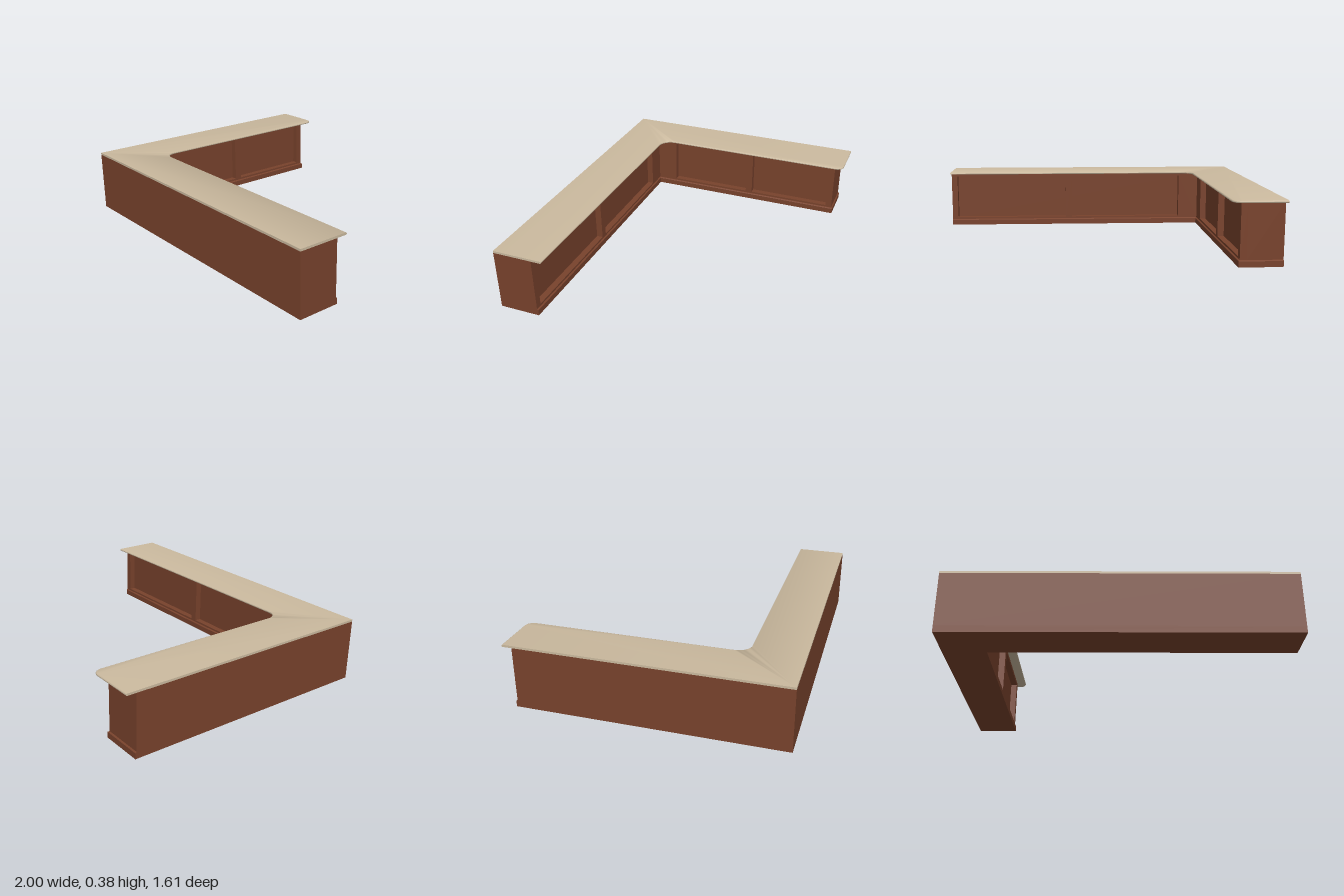
import * as THREE from 'three';
import { toCreasedNormals } from 'three/addons/utils/BufferGeometryUtils.js';

const wood = new THREE.MeshStandardMaterial({ color: 0x78422c });
const stone = new THREE.MeshStandardMaterial({ color: 0xcab99e });

const FRONT = 0.805;             // z of the straight front face
const FACE_X = -0.755;           // inner face of the side arm
const FACE_Z = 0.565;            // inner face of the front arm
const END_Z = -0.745;            // back end of the side arm
const BODY_TOP = 0.367, TOP = 0.38, PLINTH = 0.04;
const RECESS = 0.04;

// L-shaped outline as (x, -z) points, counter-clockwise; radii round the inner and the end corner
function lOutline(x, z, endZ, rInner = 0, rEnd = 0) {
  const pts = [[-1, -FRONT], [1, -FRONT], [1, -z]];
  const arc = (cx, cy, r, from, to) => {
    const n = r > 0 ? 8 : 0;
    for (let k = 0; k <= n; k++) {
      const a = from + (to - from) * (n ? k / n : 0);
      pts.push([cx + r * Math.cos(a), cy + r * Math.sin(a)]);
    }
  };
  arc(x + rInner, -z + rInner, rInner, -Math.PI / 2, -Math.PI);
  arc(x - rEnd, -endZ - rEnd, rEnd, 0, Math.PI / 2);
  pts.push([-1, -endZ]);
  return pts.map(([u, v]) => new THREE.Vector2(u, v));
}

// Closed solid through stacked outlines [{ y, pts }]
function stack(layers) {
  const pos = [];
  const put = (l, i) => pos.push(l.pts[i].x, l.y, -l.pts[i].y);
  for (let k = 0; k + 1 < layers.length; k++) {
    const lo = layers[k], hi = layers[k + 1], n = lo.pts.length;
    for (let i = 0; i < n; i++) {
      const j = (i + 1) % n;
      put(lo, i); put(lo, j); put(hi, j);
      put(lo, i); put(hi, j); put(hi, i);
    }
  }
  const first = layers[0], last = layers[layers.length - 1];
  for (const [a, b, c] of THREE.ShapeUtils.triangulateShape(last.pts, [])) {
    put(last, a); put(last, b); put(last, c);
  }
  for (const [a, b, c] of THREE.ShapeUtils.triangulateShape(first.pts, [])) {
    put(first, a); put(first, c); put(first, b);
  }
  const geo = new THREE.BufferGeometry();
  geo.setAttribute('position', new THREE.Float32BufferAttribute(pos, 3));
  return toCreasedNormals(geo, 0.8);
}

function rectPath(Type, x0, x1, y0, y1) {
  return new Type([[x0, y0], [x1, y0], [x1, y1], [x0, y1]].map(([x, y]) => new THREE.Vector2(x, y)));
}

// Framed face: a board with rectangular openings, from s = 0 at the free end
function panelFrame(length, openings) {
  const shape = rectPath(THREE.Shape, 0, length, PLINTH, BODY_TOP);
  for (const [a, b] of openings) shape.holes.push(rectPath(THREE.Path, a, b, 0.052, 0.345));
  return new THREE.ExtrudeGeometry(shape, { depth: RECESS, bevelEnabled: false });
}

export function createModel() {
  const group = new THREE.Group();
  const add = (name, geo, mat) => {
    const mesh = new THREE.Mesh(geo, mat);
    mesh.name = name;
    group.add(mesh);
    return mesh;
  };

  // Counter body, set back behind the panel frames
  const core = lOutline(FACE_X - RECESS, FACE_Z + RECESS, END_Z);
  add('counterBody', stack([{ y: PLINTH, pts: core }, { y: BODY_TOP, pts: core }]), wood);

  // Plinth with a chamfered upper edge
  add('plinth', stack([[0, 0.008], [0.034, 0.008], [PLINTH, 0]].map(([y, e]) => ({
    y, pts: lOutline(FACE_X + e, FACE_Z - e, END_Z - e),
  }))), wood);

  // Two recessed panels on the inner face of each arm
  const frame = (name, length) => {
    const margin = 0.04, corner = 0.135, divider = 0.045;
    const w = (length - margin - corner - divider) / 2;
    return add(name, panelFrame(length, [
      [margin, margin + w], [margin + w + divider, length - corner],
    ]), wood);
  };
  const front = frame('frontArmPanelFrame', 1 - FACE_X);
  front.rotation.y = Math.PI;
  front.position.set(1, 0, FACE_Z + RECESS);
  const side = frame('sideArmPanelFrame', FACE_Z - END_Z);
  // Side frame runs from the free end towards the inner corner
  side.geometry.applyMatrix4(new THREE.Matrix4().makeRotationY(-Math.PI / 2));
  side.position.set(FACE_X, 0, END_Z);

  // Countertop with rounded overhanging edges and square outer edges
  const h = (TOP - BODY_TOP) / 2, layers = [];
  for (let k = 0; k <= 6; k++) {
    const a = -Math.PI / 2 + (Math.PI * k) / 6;
    const inset = h * (1 - Math.cos(a));
    layers.push({
      y: BODY_TOP + h + h * Math.sin(a),
      pts: lOutline(-0.695 - inset, 0.5 + inset, -0.805 + inset, 0.08 + inset, 0.05 - inset),
    });
  }
  add('countertop', stack(layers), stone);

  return group;
}
